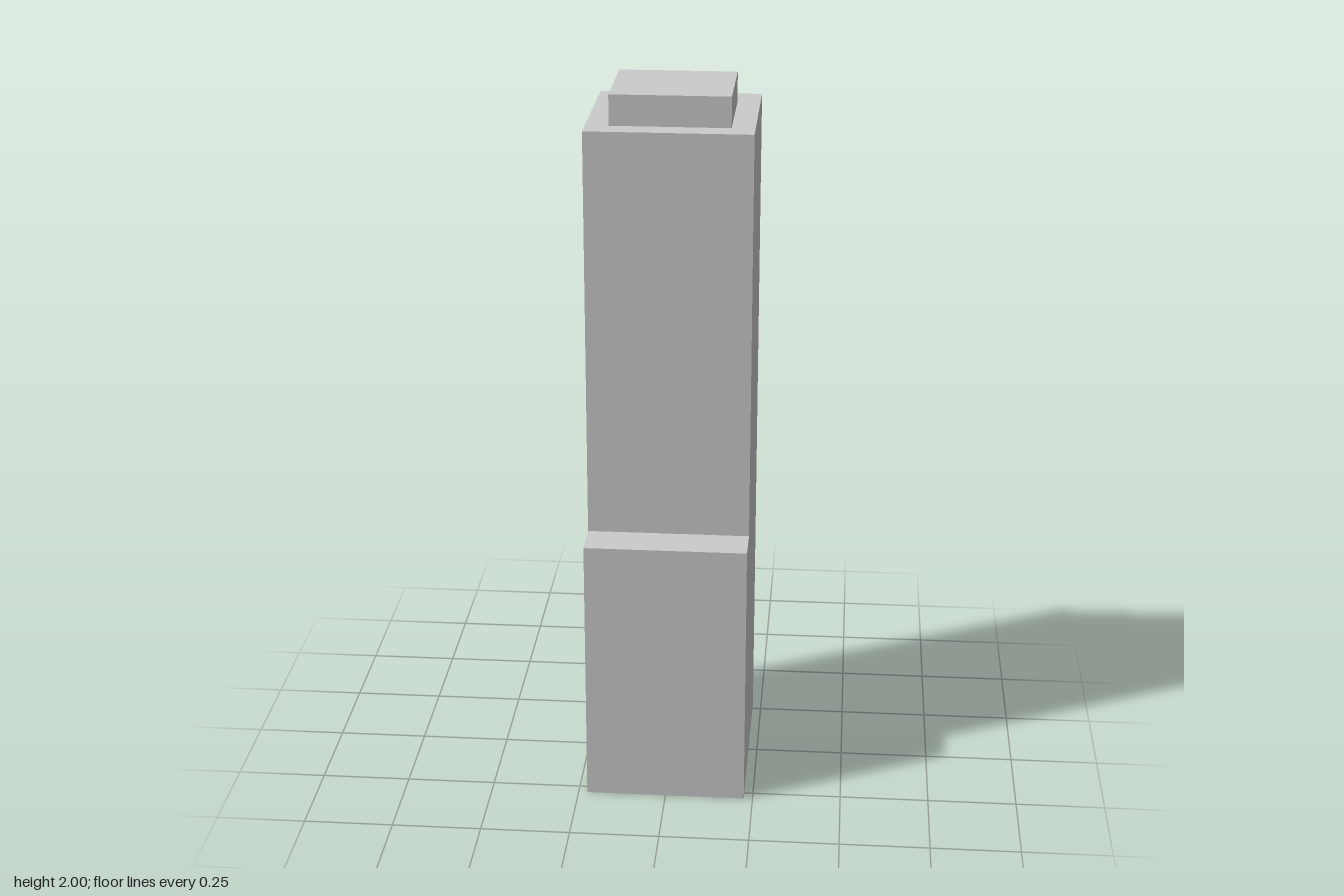
import * as THREE from 'three';

const WIDTH = 0.45, BACK = -0.281, FRONT = 0.281;
const STEP_Z = 0.167, STEP_Y = 0.773, ROOF_Y = 1.916, TOP_Y = 2;

export function createModel() {
  const model = new THREE.Group();
  model.name = 'steppedTower';
  const material = new THREE.MeshStandardMaterial({ color: 0xcccccc, flatShading: true });

  // Tower body: stepped side profile (z, y) extruded across the width
  const profile = new THREE.Shape([
    [BACK, 0], [FRONT, 0], [FRONT, STEP_Y], [STEP_Z, STEP_Y], [STEP_Z, ROOF_Y], [BACK, ROOF_Y],
  ].map(([z, y]) => new THREE.Vector2(z, y)));
  const bodyGeometry = new THREE.ExtrudeGeometry(profile, { depth: WIDTH, bevelEnabled: false });
  bodyGeometry.translate(0, 0, -WIDTH / 2).rotateY(-Math.PI / 2);
  const body = new THREE.Mesh(bodyGeometry, material);
  body.name = 'towerBody';
  model.add(body);

  // Rooftop block, slightly nearer the front edge of the roof
  const height = TOP_Y - ROOF_Y;
  const roofBlock = new THREE.Mesh(new THREE.BoxGeometry(0.324, height, 0.287), material);
  roofBlock.name = 'roofBlock';
  roofBlock.position.set(0, ROOF_Y + height / 2, -0.04);
  model.add(roofBlock);

  return model;
}
